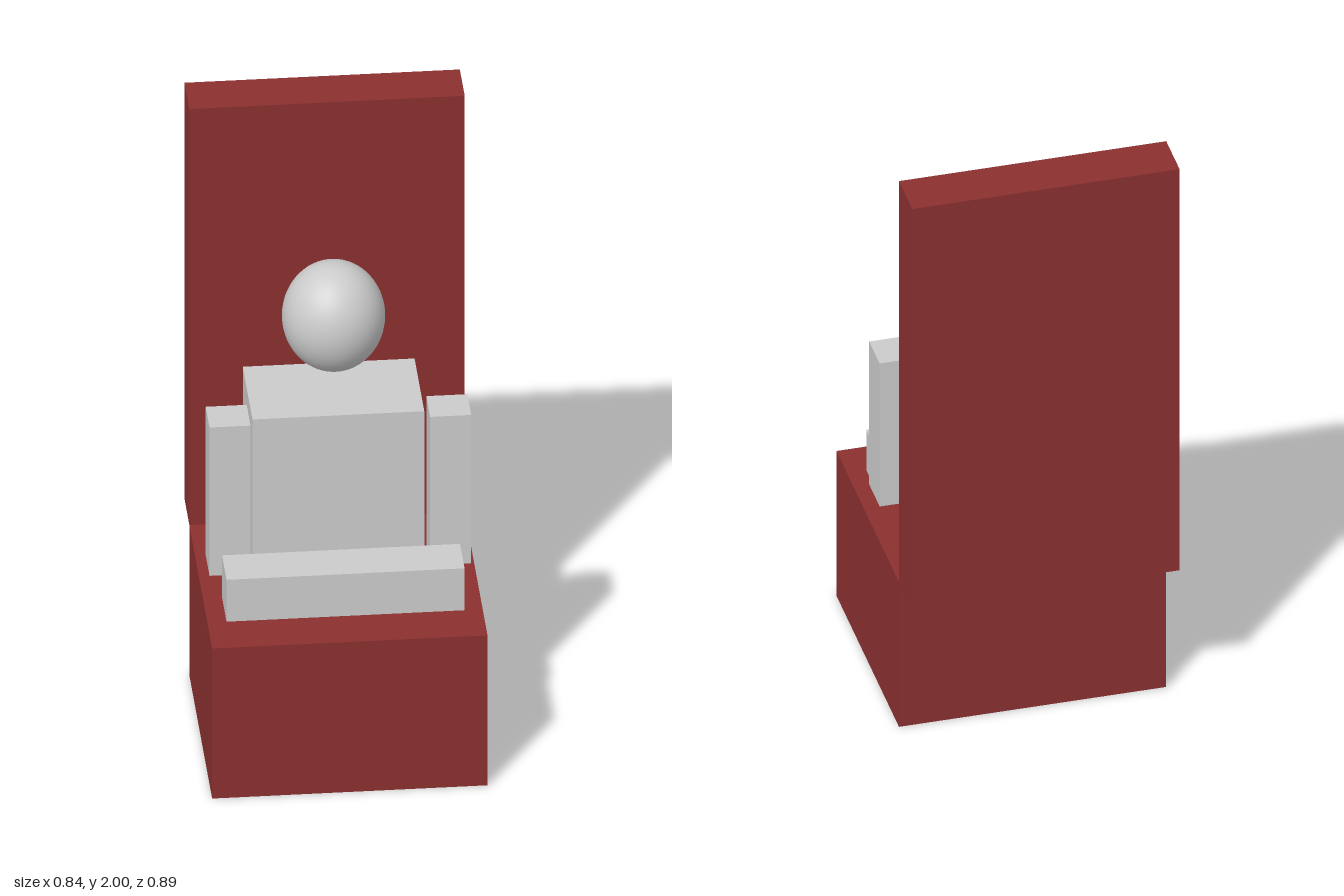
import * as THREE from 'three';

export function createModel() {
  const model = new THREE.Group();
  const grey = new THREE.MeshStandardMaterial({ color: 0xcccccc });
  const red = new THREE.MeshStandardMaterial({ color: 0x8b3030 });

  // Box given by its extents along each axis
  function box(name, material, [x0, x1], [y0, y1], [z0, z1]) {
    const mesh = new THREE.Mesh(new THREE.BoxGeometry(x1 - x0, y1 - y0, z1 - z0), material);
    mesh.position.set((x0 + x1) / 2, (y0 + y1) / 2, (z0 + z1) / 2);
    mesh.name = name;
    model.add(mesh);
    return mesh;
  }

  // Throne: seat block and tall back slab
  box('seat', red, [-0.42, 0.42], [0, 0.53], [-0.29, 0.447]);
  box('backrest', red, [-0.42, 0.42], [0.53, 2], [-0.447, -0.29]);

  // Seated figure: torso, lap and a mirrored pair of arms
  box('torso', grey, [-0.262, 0.262], [0.535, 1.112], [-0.237, 0.078]);
  box('legs', grey, [-0.363, 0.363], [0.54, 0.688], [0.163, 0.309]);
  for (const side of [-1, 1]) {
    const arm = box(side > 0 ? 'leftArm' : 'rightArm', grey, [0.274, 0.399], [0.604, 1.128], [0.016, 0.14]);
    arm.position.x *= side;
  }

  // Slightly tall, egg-like head floating above the torso
  const head = new THREE.Mesh(new THREE.SphereGeometry(0.157, 48, 32), grey);
  head.name = 'head';
  head.scale.y = 1.125;
  head.position.set(0, 1.372, -0.08);
  model.add(head);

  return model;
}
